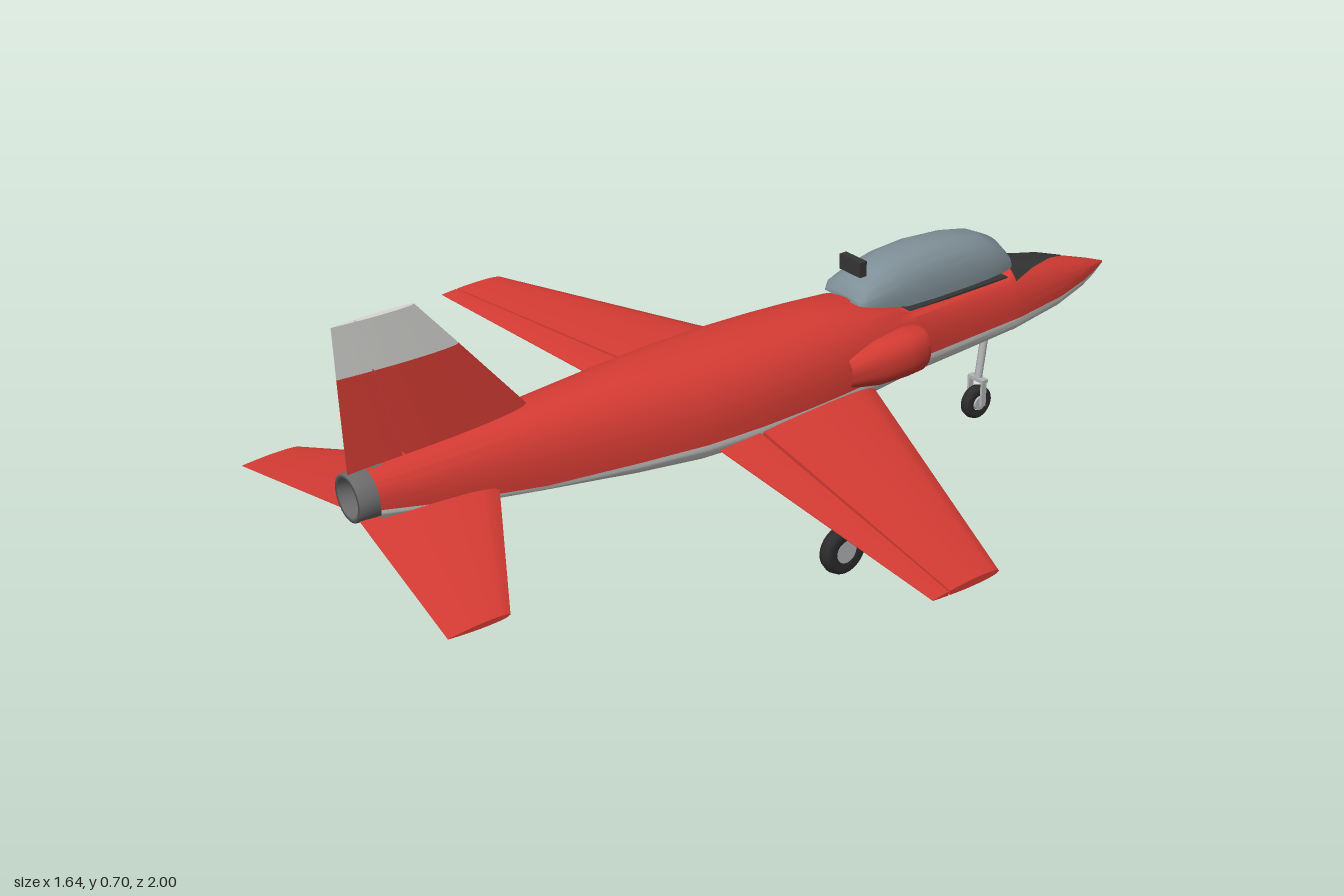
import * as THREE from 'three';
import { toCreasedNormals } from 'three/addons/utils/BufferGeometryUtils.js';

const mat = (name, color, side = THREE.FrontSide) => {
  const m = new THREE.MeshStandardMaterial({ color, side });
  m.name = name;
  return m;
};

export function createModel() {
  const model = new THREE.Group();
  const red = mat('red paint', 0xd63c34, THREE.DoubleSide);
  const white = mat('pale grey paint', 0xd6d6d3, THREE.DoubleSide);
  const glass = mat('canopy grey blue', 0x7f8f97, THREE.DoubleSide);
  const black = mat('matt black', 0x353535, THREE.DoubleSide);
  const steel = mat('exhaust steel', 0x6a6a6a, THREE.DoubleSide);
  const strutGrey = mat('strut grey', 0xb4b6b8);
  const rubber = mat('tyre rubber', 0x2c2c2c);

  const add = (name, geo, material, x = 0, y = 0, z = 0, parent = model) => {
    const m = new THREE.Mesh(geo, material);
    m.name = name;
    m.position.set(x, y, z);
    parent.add(m);
    return m;
  };

  // Skin over rows of points; flip reverses the facing
  const loft = (rows, flip = false) => {
    const n = rows[0].length, idx = [];
    for (let i = 0; i < rows.length - 1; i++) {
      for (let j = 0; j < n - 1; j++) {
        const a = i * n + j, b = a + 1, c = a + n, d = c + 1;
        idx.push(...(flip ? [a, c, b, b, c, d] : [a, b, c, b, d, c]));
      }
    }
    const g = new THREE.BufferGeometry();
    g.setAttribute('position', new THREE.Float32BufferAttribute(rows.flat(2), 3));
    g.setIndex(idx);
    return toCreasedNormals(g, 0.6);
  };
  const power = (v, n) => Math.sign(v) * Math.abs(v) ** (2 / n);

  // Fuselage stations: z, half width, top, bottom, colour line, cockpit cut height
  const stations = [
    [-1, 0.002, 0.302, 0.296, 0.299, 1], [-0.95, 0.024, 0.32, 0.28, 0.297, 1],
    [-0.9, 0.042, 0.336, 0.267, 0.294, 1], [-0.8, 0.066, 0.367, 0.25, 0.289, 1],
    [-0.65, 0.084, 0.4, 0.236, 0.285, 1], [-0.64, 0.084, 0.4, 0.236, 0.285, 0.376],
    [-0.5, 0.089, 0.408, 0.23, 0.284, 0.374], [-0.34, 0.096, 0.418, 0.225, 0.284, 0.378],
    [-0.29, 0.104, 0.425, 0.224, 0.284, 0.4], [-0.2, 0.118, 0.432, 0.222, 0.285, 1],
    [-0.1, 0.128, 0.438, 0.219, 0.285, 1], [0, 0.134, 0.442, 0.218, 0.285, 1],
    [0.12, 0.136, 0.445, 0.219, 0.285, 1], [0.25, 0.131, 0.445, 0.226, 0.286, 1],
    [0.4, 0.113, 0.442, 0.243, 0.29, 1], [0.6, 0.089, 0.433, 0.275, 0.299, 1],
    [0.8, 0.069, 0.422, 0.302, 0.326, 1], [0.93, 0.055, 0.413, 0.312, 0.35, 1],
  ];
  const section = ([z, w, top, bottom, mid, cut], from, to, lift = 0, steps = 28) =>
    Array.from({ length: steps + 1 }, (_, k) => {
      const t = from + (to - from) * k / steps, s = Math.sin(t);
      const y = mid + power(s, 2.4) * (s > 0 ? top - mid : mid - bottom);
      return [w * power(Math.cos(t), 2.4), Math.min(y, cut) + lift, z];
    });
  add('upperFuselage', loft(stations.map(s => section(s, 0, Math.PI))), red);
  add('lowerFuselage', loft(stations.map(s => section(s, Math.PI, 2 * Math.PI))), white);

  // Antiglare panel, a thin wedge on the nose
  const glareRows = [0, 0.3, 0.65, 1].map(k => {
    const z = -0.86 + 0.21 * k;
    const i = z < -0.8 ? 2 : 3, a = stations[i], b = stations[i + 1];
    const f = (z - a[0]) / (b[0] - a[0]);
    const s = a.map((v, c) => v + (b[c] - v) * f);
    const half = 0.02 + 0.86 * k;
    return section(s, Math.PI / 2 - half, Math.PI / 2 + half, 0.004, 14);
  });
  add('antiglarePanel', loft(glareRows), black);

  // Canopy: z, half width, base, top
  const domes = [
    [-0.655, 0.035, 0.4, 0.41], [-0.645, 0.055, 0.399, 0.435], [-0.62, 0.063, 0.398, 0.464],
    [-0.57, 0.07, 0.399, 0.488], [-0.5, 0.075, 0.4, 0.502], [-0.4, 0.078, 0.402, 0.509],
    [-0.32, 0.078, 0.405, 0.503], [-0.26, 0.075, 0.417, 0.488], [-0.215, 0.068, 0.427, 0.465],
    [-0.2, 0.055, 0.43, 0.44],
  ];
  add('canopy', loft(domes.map(([z, w, b, t]) => section([z, w, t, b, b, 1], 0, Math.PI))), glass);
  add('canopyBase', loft(domes.map(([z, w, b]) => [[-w, b, z], [w, b, z]])), glass);
  add('canopyHandle', new THREE.BoxGeometry(0.066, 0.034, 0.018), black, 0, 0.498, -0.23);

  // Cockpit floor and seat
  add('cockpitFloor', new THREE.BoxGeometry(0.11, 0.004, 0.29), black, 0, 0.377, -0.49);
  add('seat', new THREE.BoxGeometry(0.06, 0.05, 0.06), steel, 0, 0.395, -0.47);

  // Aerofoil panel from sections [x, y, z front, z back, thickness], chord range u0..u1
  const foil = u => 0.06 + 0.94 * Math.min(1, 3.2 * Math.sqrt(u) * (1 - u) / 1.2);
  const panel = (name, secs, u0, u1, side, topMat, lowMat, parent = model) => {
    const us = Array.from({ length: 9 }, (_, k) => u0 + (u1 - u0) * (k / 8) ** 1.5);
    const row = s => secs.map(([x, y, za, zb, th]) =>
      us.map(u => [x * side, y + s * foil(u) * th / 2, za + (zb - za) * u]));
    const upper = row(1), lower = row(-1), flip = side < 0, last = secs.length - 1;
    const edge = k => [upper.map(r => r[k]), lower.map(r => r[k])];
    add(name + 'Top', loft(upper, flip), topMat, 0, 0, 0, parent);
    add(name + 'Underside', loft(lower, !flip), lowMat, 0, 0, 0, parent);
    add(name + 'Tip', loft([upper[last], lower[last]], flip), topMat, 0, 0, 0, parent);
    add(name + 'FrontEdge', loft(edge(0), flip), topMat, 0, 0, 0, parent);
    add(name + 'BackEdge', loft(edge(us.length - 1), !flip), topMat, 0, 0, 0, parent);
  };

  const wing = [[0.05, 0.259, -0.227, 0.212, 0.042], [0.822, 0.286, 0.132, 0.29, 0.014]];
  const tail = [[0.03, 0.328, 0.67, 0.963, 0.024], [0.387, 0.273, 0.872, 0.996, 0.01]];
  // Intake: z, centre x, half width, half height
  const intake = [[-0.33, 0.103, 0.038, 0.045], [-0.315, 0.104, 0.043, 0.05],
    [-0.27, 0.104, 0.047, 0.051], [-0.2, 0.102, 0.046, 0.049], [-0.12, 0.1, 0.032, 0.036]];

  // Tyre with rounded shoulders, axle along x
  const tyre = (r, w) => new THREE.LatheGeometry([
    [r * 0.45, -w * 0.4], [r * 0.78, -w * 0.5], [r * 0.94, -w * 0.36], [r, 0],
    [r * 0.94, w * 0.36], [r * 0.78, w * 0.5], [r * 0.45, w * 0.4],
  ].map(p => new THREE.Vector2(...p)), 28).rotateZ(Math.PI / 2);
  const hub = (r, w) => new THREE.CylinderGeometry(r, r, w, 20).rotateZ(Math.PI / 2);
  const rod = (name, a, b, r, parent) => {
    const p = new THREE.Vector3(...a), q = new THREE.Vector3(...b);
    const m = add(name, new THREE.CylinderGeometry(r, r, p.distanceTo(q), 14), strutGrey, 0, 0, 0, parent);
    m.position.copy(p).add(q).multiplyScalar(0.5);
    m.quaternion.setFromUnitVectors(new THREE.Vector3(0, 1, 0), q.sub(p).normalize());
  };

  for (const [side, label] of [[1, 'left'], [-1, 'right']]) {
    panel(label + 'Wing', wing, 0, 0.745, side, red, white);
    panel(label + 'Flap', wing, 0.765, 1, side, red, white);
    panel(label + 'Tailplane', tail, 0, 1, side, red, white);

    // Air intake on the fuselage side
    const rings = intake.map(([z, x, rx, ry]) => section(
      [z, rx, 0.32 + ry, 0.32 - ry, 0.32, 1], 0, 2 * Math.PI, 0, 32)
      .map(([px, py, pz]) => [px + side * x, py, pz]));
    add(label + 'Intake', loft(rings), red);
    const mouth = add(label + 'IntakeMouth', new THREE.CircleGeometry(1, 28), black, side * 0.103, 0.32, -0.328);
    mouth.scale.set(0.037, 0.044, 1);
    mouth.rotation.y = Math.PI;

    // Main landing gear
    const gear = new THREE.Group();
    gear.name = label + 'MainGear';
    model.add(gear);
    add('tyre', tyre(0.053, 0.034), rubber, side * 0.305, 0.055, 0.05, gear);
    add('hub', hub(0.025, 0.029), strutGrey, side * 0.305, 0.055, 0.05, gear);
    rod('upperStrut', [side * 0.283, 0.262, 0.03], [side * 0.281, 0.15, 0.041], 0.011, gear);
    rod('lowerStrut', [side * 0.281, 0.15, 0.041], [side * 0.279, 0.052, 0.05], 0.008, gear);
    rod('axle', [side * 0.272, 0.055, 0.05], [side * 0.305, 0.055, 0.05], 0.008, gear);
  }

  // Fin and rudder, laid out sideways then stood upright
  const fin = new THREE.Group();
  fin.name = 'fin';
  fin.rotation.z = Math.PI / 2;
  model.add(fin);
  const root = [0.4, 0, 0.555, 0.963, 0.034], mid = [0.6, 0, 0.718, 0.966, 0.02], top = [0.702, 0, 0.802, 0.967, 0.013];
  for (const [name, a, b] of [['fin', 0, 0.71], ['rudder', 0.725, 1]]) {
    panel(name + 'Lower', [root, mid], a, b, 1, red, red, fin);
    panel(name + 'Cap', [mid, top], a, b, 1, white, white, fin);
  }

  // Exhaust pipe
  const pipe = new THREE.LatheGeometry([[0.054, 0.9], [0.051, 0.935], [0.047, 0.967], [0.038, 0.967], [0.035, 0.92]]
    .map(p => new THREE.Vector2(...p)), 28).rotateX(Math.PI / 2);
  add('exhaustPipe', pipe, steel, 0, 0.362, 0);
  add('exhaustCore', new THREE.CircleGeometry(0.038, 28), black, 0, 0.362, 0.935);

  // Belly airbrake
  add('bellyBrake', new THREE.BoxGeometry(0.11, 0.014, 0.16), white, 0, 0.222, 0.12);

  // Nose landing gear
  const nose = new THREE.Group();
  nose.name = 'noseGear';
  model.add(nose);
  add('tyre', tyre(0.04, 0.028), rubber, 0, 0.056, -0.61, nose);
  add('hub', hub(0.016, 0.03), strutGrey, 0, 0.056, -0.61, nose);
  for (const s of [1, -1]) add('forkArm', new THREE.BoxGeometry(0.006, 0.062, 0.014), strutGrey, s * 0.021, 0.083, -0.611, nose);
  add('forkBridge', new THREE.BoxGeometry(0.048, 0.008, 0.018), strutGrey, 0, 0.114, -0.613, nose);
  rod('strut', [0, 0.112, -0.613], [0, 0.25, -0.632], 0.009, nose);

  return model;
}
